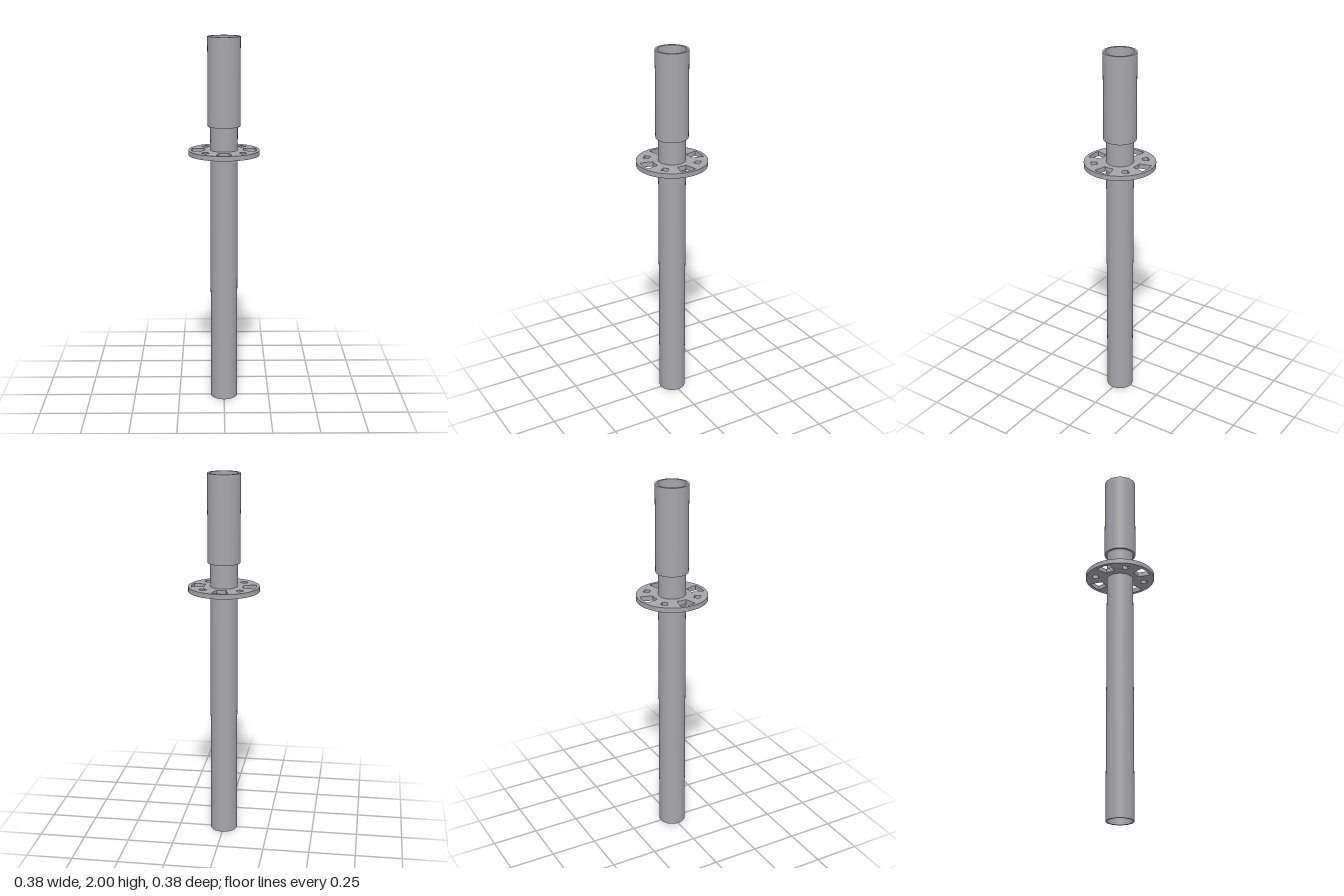
import * as THREE from 'three';
import { toCreasedNormals } from 'three/addons/utils/BufferGeometryUtils.js';

// Path shaped like a ring sector, centred on an angle
function sectorHole(r0, r1, angle, half, steps = 8) {
  const pts = [];
  const add = (r, a) => pts.push(new THREE.Vector2(r * Math.cos(a), r * Math.sin(a)));
  for (let i = 0; i <= steps; i++) add(r1, angle - half + (2 * half * i) / steps);
  for (let i = steps; i >= 0; i--) add(r0, angle - half + (2 * half * i) / steps);
  return new THREE.Path(pts);
}

// Upright ring from y0 to y1, with optional extra holes
function ring(name, material, rIn, rOut, y0, y1, holes = []) {
  const shape = new THREE.Shape().absarc(0, 0, rOut, 0, Math.PI * 2, false);
  shape.holes.push(new THREE.Path().absarc(0, 0, rIn, 0, Math.PI * 2, true), ...holes);
  const geo = new THREE.ExtrudeGeometry(shape, { depth: y1 - y0, bevelEnabled: false, curveSegments: 64 });
  geo.rotateX(-Math.PI / 2).translate(0, y0, 0);
  const mesh = new THREE.Mesh(toCreasedNormals(geo, Math.PI / 6), material);
  mesh.name = name;
  return mesh;
}

export function createModel() {
  const group = new THREE.Group();
  group.name = 'scaffoldCollar';
  const steel = new THREE.MeshStandardMaterial({ color: 0xa6a6aa });
  steel.name = 'galvanised steel';

  // Rosette: four wide slots on the axes, four small ones on the diagonals
  const deg = Math.PI / 180;
  const holes = [];
  for (let i = 0; i < 4; i++) {
    holes.push(sectorHole(0.104, 0.173, i * 90 * deg, 14.5 * deg));
    holes.push(sectorHole(0.122, 0.155, (i * 90 + 45) * deg, 7 * deg, 1));
  }

  group.add(
    ring('mainTube', steel, 0.065, 0.073, 0, 1.65),
    ring('upperSleeve', steel, 0.075, 0.087, 1.53, 2),
    ring('rosette', steel, 0.0725, 0.19, 1.377, 1.403, holes)
  );
  return group;
}
